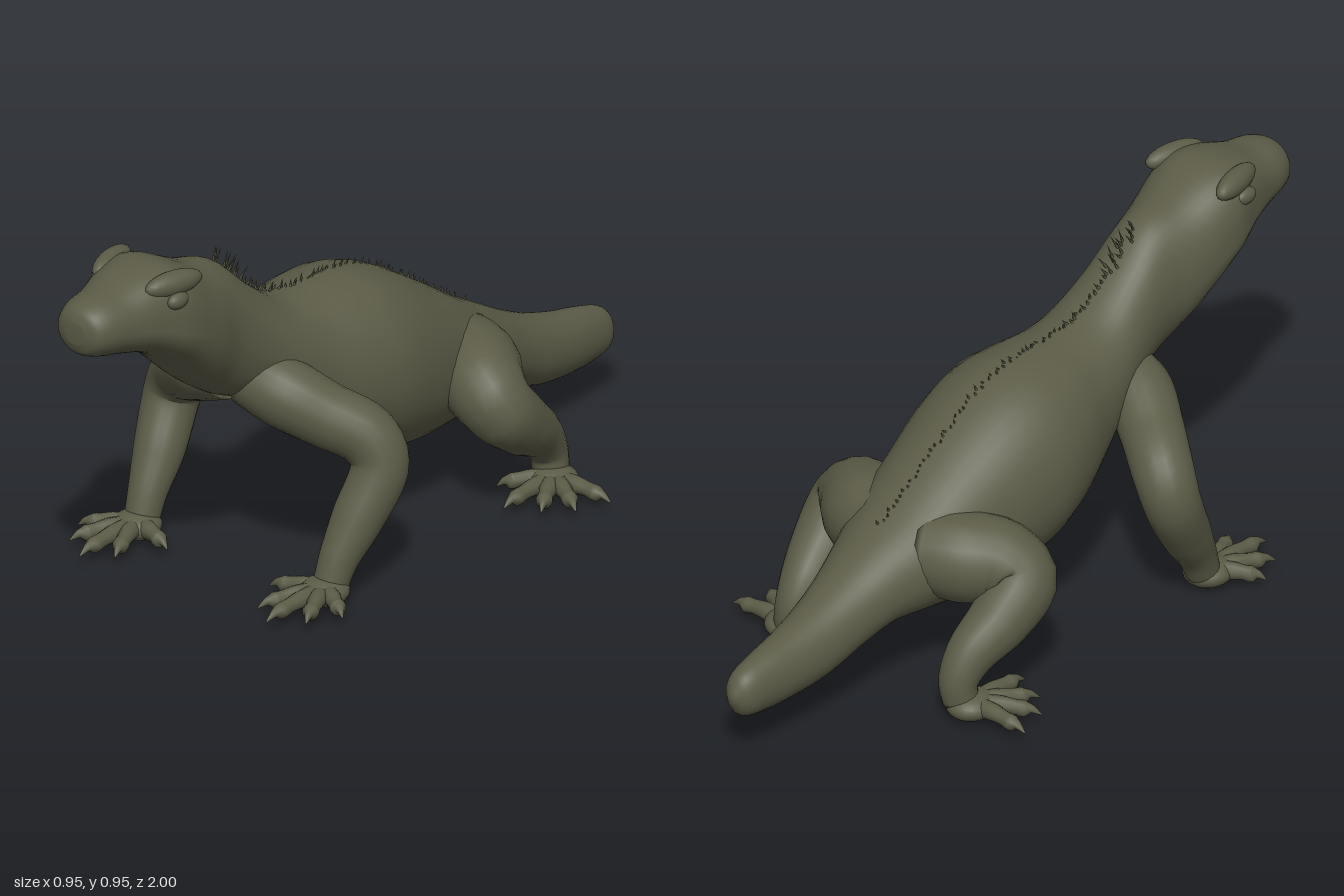
import * as THREE from 'three';

const skin = new THREE.MeshStandardMaterial({ color: 0x5b5b47 });
skin.name = 'olive skin';

// Skin a list of rings (each an array of Vector3) with capped ends.
function loft(rings, name) {
  const n = rings[0].length, pos = [], idx = [];
  const add = (p) => pos.push(p.x, p.y, p.z);
  rings.forEach((r) => r.forEach(add));
  for (let i = 0; i < rings.length - 1; i++) {
    for (let j = 0; j < n; j++) {
      const a = i * n + j, b = i * n + (j + 1) % n, c = a + n, d = b + n;
      idx.push(a, c, b, b, c, d);
    }
  }
  const last = (rings.length - 1) * n, center = rings.length * n;
  for (const r of [rings[0], rings[rings.length - 1]]) {
    add(r.reduce((s, p) => s.add(p), new THREE.Vector3()).divideScalar(n));
  }
  for (let j = 0; j < n; j++) {
    const k = (j + 1) % n;
    idx.push(center, j, k, center + 1, last + k, last + j);
  }
  const g = new THREE.BufferGeometry();
  g.setAttribute('position', new THREE.Float32BufferAttribute(pos, 3));
  g.setIndex(idx);
  g.computeVertexNormals();
  const m = new THREE.Mesh(g, skin);
  m.name = name;
  return m;
}

// Tube of varying radius through [x, y, z, radius] points, mirrored by side.
function limb(points, side, name, steps = 32, sides = 18) {
  const curve = new THREE.CatmullRomCurve3(points.map((p) => new THREE.Vector3(p[0] * side, p[1], p[2])));
  const radii = new THREE.CatmullRomCurve3(points.map((p, i) => new THREE.Vector3(i * 0.1, p[3], 0)));
  const f = curve.computeFrenetFrames(steps);
  const rings = [];
  for (let i = 0; i <= steps; i++) {
    const t = curve.getUtoTmapping(i / steps);
    const c = curve.getPoint(t), r = Math.max(0.002, radii.getPoint(t).y);
    rings.push(Array.from({ length: sides }, (_, j) => {
      const a = j / sides * Math.PI * 2;
      return c.clone().addScaledVector(f.normals[i], r * Math.cos(a)).addScaledVector(f.binormals[i], -r * Math.sin(a));
    }));
  }
  return loft(rings, name);
}

function ellipsoid(x, y, z, sx, sy, sz, name) {
  const m = new THREE.Mesh(new THREE.SphereGeometry(1, 24, 16), skin);
  m.position.set(x, y, z);
  m.scale.set(sx, sy, sz);
  m.name = name;
  return m;
}

// Body stations, snout to tail: z, top, bottom, half width
const stations = [
  [1.0, 0.865, 0.81, 0.03], [0.985, 0.895, 0.78, 0.065], [0.95, 0.912, 0.765, 0.085],
  [0.88, 0.922, 0.75, 0.1], [0.8, 0.945, 0.728, 0.123], [0.72, 0.95, 0.68, 0.145],
  [0.6, 0.9, 0.575, 0.136], [0.5, 0.87, 0.51, 0.115], [0.4, 0.785, 0.465, 0.125],
  [0.3, 0.715, 0.395, 0.15], [0.2, 0.693, 0.295, 0.175], [0.1, 0.69, 0.235, 0.21],
  [0, 0.682, 0.19, 0.228], [-0.1, 0.65, 0.165, 0.22], [-0.25, 0.563, 0.16, 0.191],
  [-0.4, 0.465, 0.18, 0.16], [-0.5, 0.41, 0.183, 0.125], [-0.6, 0.355, 0.155, 0.1],
  [-0.7, 0.31, 0.122, 0.085], [-0.8, 0.28, 0.11, 0.071], [-0.9, 0.26, 0.11, 0.057],
  [-0.97, 0.237, 0.122, 0.042], [-1.0, 0.195, 0.165, 0.012],
];

// The head is squarer on top and widest low down at the jaw
function body() {
  const outline = new THREE.CatmullRomCurve3(stations.map((s) => new THREE.Vector3(s[0], s[1], s[2])));
  const width = new THREE.CatmullRomCurve3(stations.map((s) => new THREE.Vector3(s[0], s[3], 0)));
  const steps = (stations.length - 1) * 5, sides = 40, rings = [];
  for (let i = 0; i <= steps; i++) {
    const o = outline.getPoint(i / steps), w = width.getPoint(i / steps).y;
    const head = Math.exp(-(((o.x - 0.76) / 0.12) ** 2));
    const mid = o.z + (o.y - o.z) * (0.48 - 0.12 * head);
    rings.push(Array.from({ length: sides }, (_, j) => {
      const a = j / sides * Math.PI * 2, c = Math.cos(a), d = Math.sin(a);
      const e = d > 0 ? 2 / (2.1 + 0.8 * head) : 1;
      const y = d > 0 ? (o.y - mid) * Math.pow(d, e) : (mid - o.z) * d;
      return new THREE.Vector3(w * Math.sign(c) * Math.pow(Math.abs(c), e), mid + y, o.x);
    }));
  }
  return loft(rings, 'body');
}

// Height of the back at a given z
function backHeight(z) {
  const i = stations.findIndex((s) => s[0] <= z), a = stations[i - 1], b = stations[i];
  return a[1] + (b[1] - a[1]) * (a[0] - z) / (a[0] - b[0]);
}

// Foot: low pad with five clawed toes reaching to [x, z] tips
function foot(side, [px, pz], tips, name) {
  const g = new THREE.Group();
  g.name = name;
  g.add(ellipsoid(px * side, 0.04, pz, 0.062, 0.036, 0.065, name + 'Pad'));
  for (const [tx, tz] of tips) {
    const at = (t, y, r) => [px + (tx - px) * t, y, pz + (tz - pz) * t, r];
    g.add(limb([at(0.1, 0.04, 0.026), at(0.4, 0.045, 0.023), at(0.62, 0.043, 0.019),
      at(0.76, 0.04, 0.021), at(0.84, 0.042, 0.012), at(1, 0.028, 0.002)], side, 'toe', 18, 10));
  }
  return g;
}

export function createModel() {
  const model = new THREE.Group();
  model.name = 'lizard';
  model.add(body());

  for (const side of [1, -1]) {
    const label = side > 0 ? 'left' : 'right';
    // Eyes under heavy brows
    const brow = ellipsoid(0.1 * side, 0.916, 0.745, 0.03, 0.032, 0.085, label + 'Brow');
    brow.rotation.y = -0.22 * side;
    model.add(brow, ellipsoid(0.122 * side, 0.88, 0.755, 0.02, 0.022, 0.034, label + 'Eye'));

    // Front leg
    model.add(limb([
      [0.03, 0.53, 0.38, 0.08], [0.12, 0.5, 0.36, 0.088], [0.21, 0.45, 0.31, 0.082],
      [0.3, 0.395, 0.25, 0.078], [0.333, 0.33, 0.243, 0.073], [0.318, 0.2, 0.312, 0.065],
      [0.307, 0.11, 0.368, 0.05], [0.303, 0.045, 0.395, 0.044],
    ], side, label + 'FrontLeg', 40, 20));
    model.add(foot(side, [0.302, 0.415],
      [[0.425, 0.49], [0.38, 0.575], [0.3, 0.63], [0.23, 0.58], [0.165, 0.46]], label + 'FrontFoot'));

    // Hind leg
    model.add(limb([
      [0.06, 0.35, -0.37, 0.1], [0.15, 0.345, -0.32, 0.115], [0.23, 0.335, -0.265, 0.105],
      [0.283, 0.3, -0.255, 0.092], [0.287, 0.23, -0.33, 0.08], [0.27, 0.16, -0.425, 0.062],
      [0.267, 0.1, -0.465, 0.05], [0.275, 0.045, -0.465, 0.045],
    ], side, label + 'HindLeg', 40, 20));
    model.add(foot(side, [0.295, -0.45],
      [[0.475, -0.455], [0.445, -0.36], [0.385, -0.3], [0.3, -0.26], [0.2, -0.35]], label + 'HindFoot'));
  }

  // Crest of small spines, tallest on the nape
  let seed = 7;
  const rand = () => (seed = (seed * 16807) % 2147483647) / 2147483647;
  const crest = new THREE.Group();
  crest.name = 'crest';
  const cone = new THREE.ConeGeometry(1, 1, 5);
  cone.translate(0, 0.4, 0);
  for (let z = 0.49; z > -0.46; z -= z > 0.38 ? 0.007 : 0.013) {
    const nape = z > 0.38, h = nape ? 0.025 + 0.035 * rand() : (z > -0.25 ? 0.014 : 0.008) + 0.014 * rand();
    const spine = new THREE.Mesh(cone, skin);
    spine.name = 'spine';
    spine.position.set((rand() - 0.5) * (nape ? 0.035 : 0.012), backHeight(z) - 0.003, z);
    spine.scale.set(0.004, h, 0.005);
    spine.rotation.set(-0.3 - 0.6 * rand(), 0, (rand() - 0.5) * 0.6);
    crest.add(spine);
  }
  model.add(crest);
  return model;
}
